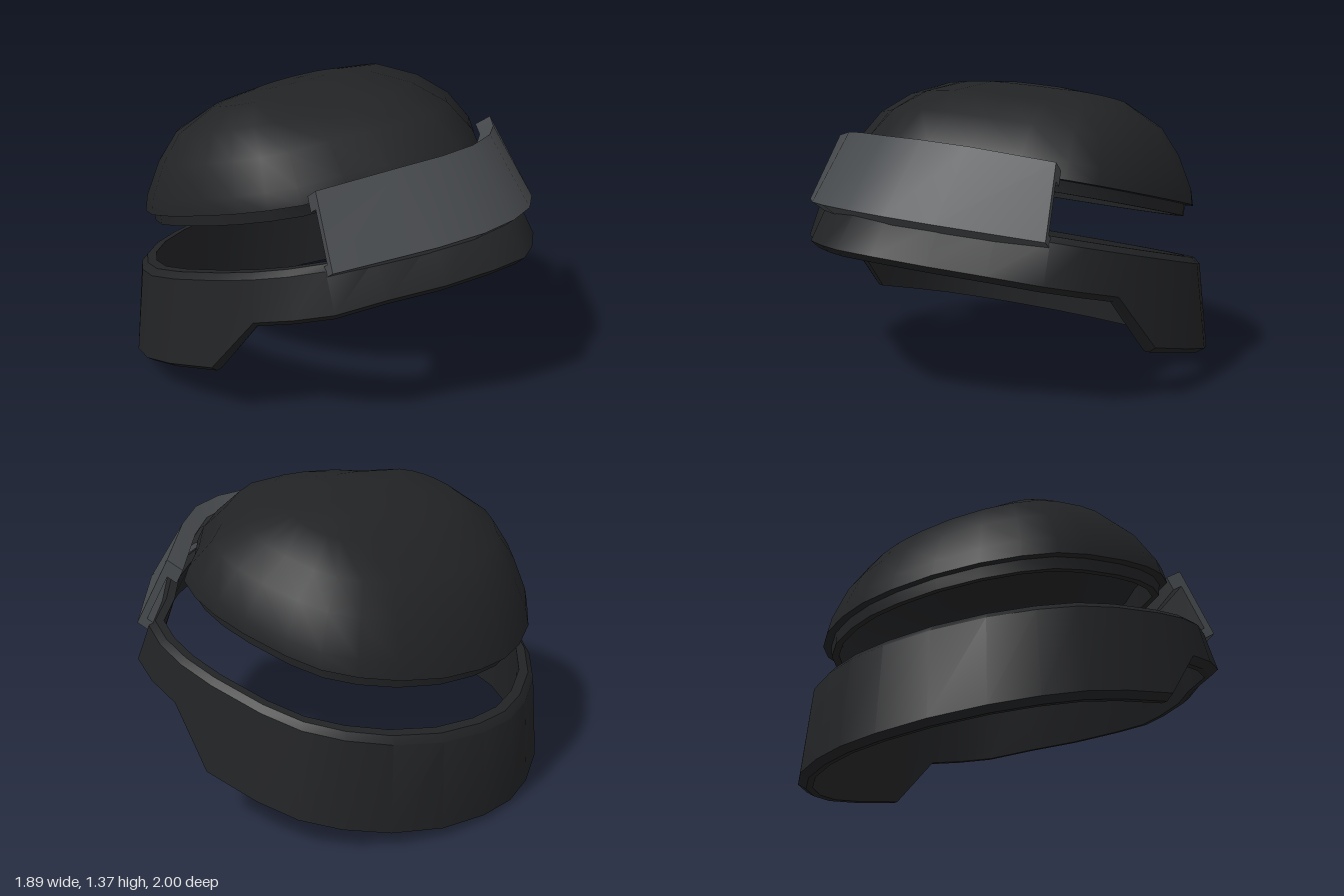
import * as THREE from 'three';
import { toCreasedNormals } from 'three/addons/utils/BufferGeometryUtils.js';

const SLOPE = 0.242; // everything leans back by this slope

// Half plan outline (x, z) from back to front tip, mirrored to a full loop
const HALF = [[0, -1], [0.2, -0.975], [0.43, -0.9], [0.64, -0.77], [0.79, -0.62], [0.89, -0.46],
  [0.935, -0.27], [0.95, 0], [0.935, 0.21], [0.89, 0.39], [0.81, 0.55], [0.6, 0.68], [0.4, 0.84],
  [0.17, 0.95], [0, 1]];
const OUTLINE = [...HALF, ...HALF.slice(1, -1).reverse().map(([x, z]) => [-x, z])];

// Skin a list of closed loops; caps are polygons (indices into a loop) for both ends
function loft(rows, { closed = false, caps = [], crease = 0.6 } = {}) {
  const n = rows[0].length, pts = rows.flat(), idx = [];
  const last = closed ? rows.length : rows.length - 1;
  for (let i = 0; i < last; i++) {
    const k = (i + 1) % rows.length;
    for (let j = 0; j < n; j++) {
      const m = (j + 1) % n;
      idx.push(i * n + j, i * n + m, k * n + j, i * n + m, k * n + m, k * n + j);
    }
  }
  const end = (rows.length - 1) * n;
  for (const [a, b, c, d] of caps) {
    idx.push(a, c, b, a, d, c);
    idx.push(end + a, end + b, end + c, end + a, end + c, end + d);
  }
  // Turn the faces outward when the enclosed volume comes out negative
  let volume = 0;
  const cross = new THREE.Vector3();
  for (let i = 0; i < idx.length; i += 3) {
    volume += pts[idx[i]].dot(cross.crossVectors(pts[idx[i + 1]], pts[idx[i + 2]]));
  }
  if (volume < 0) idx.reverse();
  const geo = new THREE.BufferGeometry().setFromPoints(pts);
  geo.setIndex(idx);
  return toCreasedNormals(geo, crease);
}

// Lower band: a ring with a deep back and a shallow front
function bandGeometry() {
  const rows = OUTLINE.map(([x, z]) => {
    const low = z > 0.2 ? 0.46 : 0;
    const profile = [[low, 0.04], [low + 0.06, 0], [0.94, 0], [1, 0.025], [1, 0.07], [low, 0.07]];
    return profile.map(([t, inset]) => {
      const k = 1 - inset;
      const zScale = z > 0 ? 1 - 0.27 * Math.max(0, t - 0.52) : 1 - 0.03 * t;
      const pz = z * zScale * k;
      return new THREE.Vector3(x * (1 - 0.06 * t) * k, 0.24 + 0.45 * t + SLOPE * pz, pz);
    });
  });
  return loft(rows, { closed: true });
}

// Dome shell: rings of [half width, back z, front z, height before leaning]
function domeGeometry() {
  const rings = [
    [0, -0.24, -0.24, 1.404], [0.25, -0.4, -0.1, 1.397], [0.5, -0.53, 0.05, 1.37],
    [0.65, -0.74, 0.3, 1.28], [0.745, -0.84, 0.5, 1.16], [0.812, -0.91, 0.64, 1.013],
    [0.82, -0.93, 0.68, 0.938],
    // rim lip and inside
    [0.785, -0.89, 0.64, 0.935], [0.78, -0.885, 0.635, 0.88], [0.75, -0.85, 0.6, 0.88],
    [0.74, -0.84, 0.58, 1.0], [0.68, -0.78, 0.43, 1.12], [0.56, -0.65, 0.24, 1.24],
    [0.3, -0.42, -0.04, 1.33], [0, -0.24, -0.24, 1.345],
  ];
  const rows = rings.map(([w, back, front, h]) => OUTLINE.map(([x, z]) => {
    const pz = THREE.MathUtils.lerp(back, front, (z + 1) / 2);
    return new THREE.Vector3((x / 0.95) * w, h + SLOPE * pz, pz);
  }));
  return loft(rows, { crease: 0.7 });
}

// Brow plate: curved plate with a lip along its top and bottom on the inside
function browGeometry() {
  const half = [ // top edge, bottom edge, inward offset
    [[0, 1.18, 0.72], [0, 0.88, 0.94], [0, -0.048, -0.06]],
    [[0.2, 1.176, 0.69], [0.2, 0.873, 0.91], [-0.01, -0.048, -0.06]],
    [[0.4, 1.155, 0.595], [0.41, 0.85, 0.81], [-0.02, -0.048, -0.06]],
    [[0.715, 1.1, 0.4], [0.785, 0.79, 0.54], [-0.03, -0.045, -0.065]],
  ].map((s) => s.map((p) => new THREE.Vector3(...p)));
  const mirror = new THREE.Vector3(-1, 1, 1);
  const all = [...half.slice(1).reverse().map((s) => s.map((p) => p.clone().multiply(mirror))), ...half];
  const section = [[0, 0], [1, 0], [1, 1], [0.87, 1], [0.87, 0.4], [0.2, 0.4], [0.2, 1], [0, 1]];
  const rows = all.map(([top, bottom, inward]) => section.map(([t, depth]) =>
    top.clone().lerp(bottom, t).addScaledVector(inward, depth)));
  return loft(rows, { caps: [[0, 1, 4, 5], [1, 2, 3, 4], [0, 5, 6, 7]] });
}

export function createModel() {
  const group = new THREE.Group();
  const dark = new THREE.MeshStandardMaterial({ color: 0x222325 });
  const grey = new THREE.MeshStandardMaterial({ color: 0x474a4d });
  const add = (name, geometry, material) => {
    const mesh = new THREE.Mesh(geometry, material);
    mesh.name = name;
    group.add(mesh);
  };
  add('lowerBand', bandGeometry(), dark);
  add('domeShell', domeGeometry(), dark);
  add('browPlate', browGeometry(), grey);
  return group;
}
